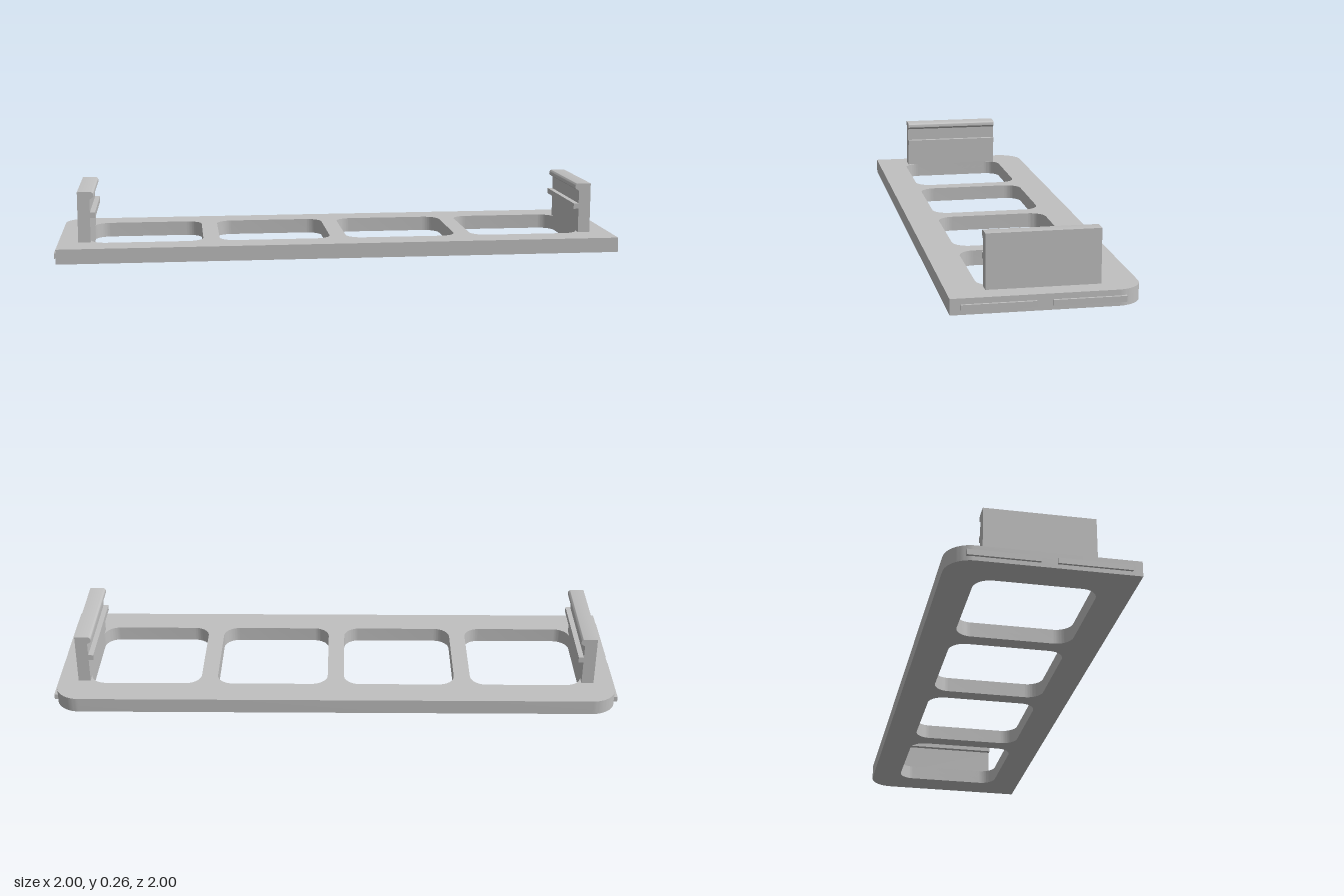
import * as THREE from 'three';
import { toCreasedNormals } from 'three/addons/utils/BufferGeometryUtils.js';

const MID = -0.0285;   // centre line of the plate across its width
const HALF_L = 1.103, HALF_W = 0.3395, THICK = 0.058;

// Square hole with rounded corners
function roundedSquare(cx, cy, h, r) {
  const p = new THREE.Path();
  p.absarc(cx + h - r, cy + h - r, r, 0, Math.PI / 2);
  p.absarc(cx - h + r, cy + h - r, r, Math.PI / 2, Math.PI);
  p.absarc(cx - h + r, cy - h + r, r, Math.PI, Math.PI * 1.5);
  p.absarc(cx + h - r, cy - h + r, r, Math.PI * 1.5, Math.PI * 2);
  p.closePath();
  return p;
}

export function createModel() {
  const model = new THREE.Group();
  const frame = new THREE.Group();
  frame.name = 'bracket';
  frame.rotation.y = Math.PI / 4;
  model.add(frame);

  const grey = new THREE.MeshStandardMaterial({ color: 0xc0c0c0 });
  grey.name = 'light grey';
  const add = (name, geometry, parent = frame) => {
    const mesh = new THREE.Mesh(geometry, grey);
    mesh.name = name;
    parent.add(mesh);
    return mesh;
  };

  // Base plate: two rounded corners on one long side, four openings
  const R = 0.097, y0 = -MID - HALF_W, y1 = -MID + HALF_W;
  const outline = new THREE.Shape();
  outline.moveTo(-HALF_L, y0);
  outline.lineTo(HALF_L, y0);
  outline.absarc(HALF_L - R, y1 - R, R, 0, Math.PI / 2);
  outline.absarc(-HALF_L + R, y1 - R, R, Math.PI / 2, Math.PI);
  outline.closePath();
  for (const u of [-0.757, -0.2525, 0.2525, 0.757]) {
    outline.holes.push(roundedSquare(u, -MID, 0.22, 0.063));
  }
  const plate = new THREE.ExtrudeGeometry(outline, { depth: THICK, bevelEnabled: false, curveSegments: 10 });
  plate.rotateX(-Math.PI / 2);
  add('basePlate', toCreasedNormals(plate, 0.5));

  // Upright clip profile: wall with a small rib and a rounded top lip on the inner face
  const inner = 0.977, outer = 1.025, top = 0.257;
  const profile = new THREE.Shape();
  profile.moveTo(outer, 0.03);
  profile.lineTo(outer, top);
  profile.lineTo(inner - 0.003, top);
  profile.absarc(inner - 0.003, top - 0.012, 0.012, Math.PI / 2, Math.PI);
  profile.lineTo(inner - 0.015, top - 0.02);
  profile.lineTo(inner, top - 0.03);
  profile.lineTo(inner, 0.176);
  profile.lineTo(inner - 0.02, 0.176);
  profile.lineTo(inner - 0.02, 0.154);
  profile.lineTo(inner, 0.154);
  profile.lineTo(inner, 0.03);
  profile.closePath();
  const clipWidth = 0.407;
  const clip = new THREE.ExtrudeGeometry(profile, { depth: clipWidth, bevelEnabled: false, curveSegments: 5 });
  clip.translate(0, 0, -clipWidth / 2);
  const clipGeometry = toCreasedNormals(clip, 0.5);

  for (const side of [1, -1]) {
    const end = side > 0 ? 'right' : 'left';
    const upright = add(end + 'Clip', clipGeometry);
    upright.position.z = MID;
    upright.rotation.y = side > 0 ? 0 : Math.PI;

    // Two thin ridges on each end face
    for (const [a, b] of [[-0.302, -0.045], [0.012, 0.275]]) {
      const ridge = add(end + 'EndRidge', new THREE.BoxGeometry(0.03, 0.021, b - a));
      ridge.position.set(side * (1.112 - 0.015), 0.0265, (a + b) / 2);
    }
  }
  return model;
}
